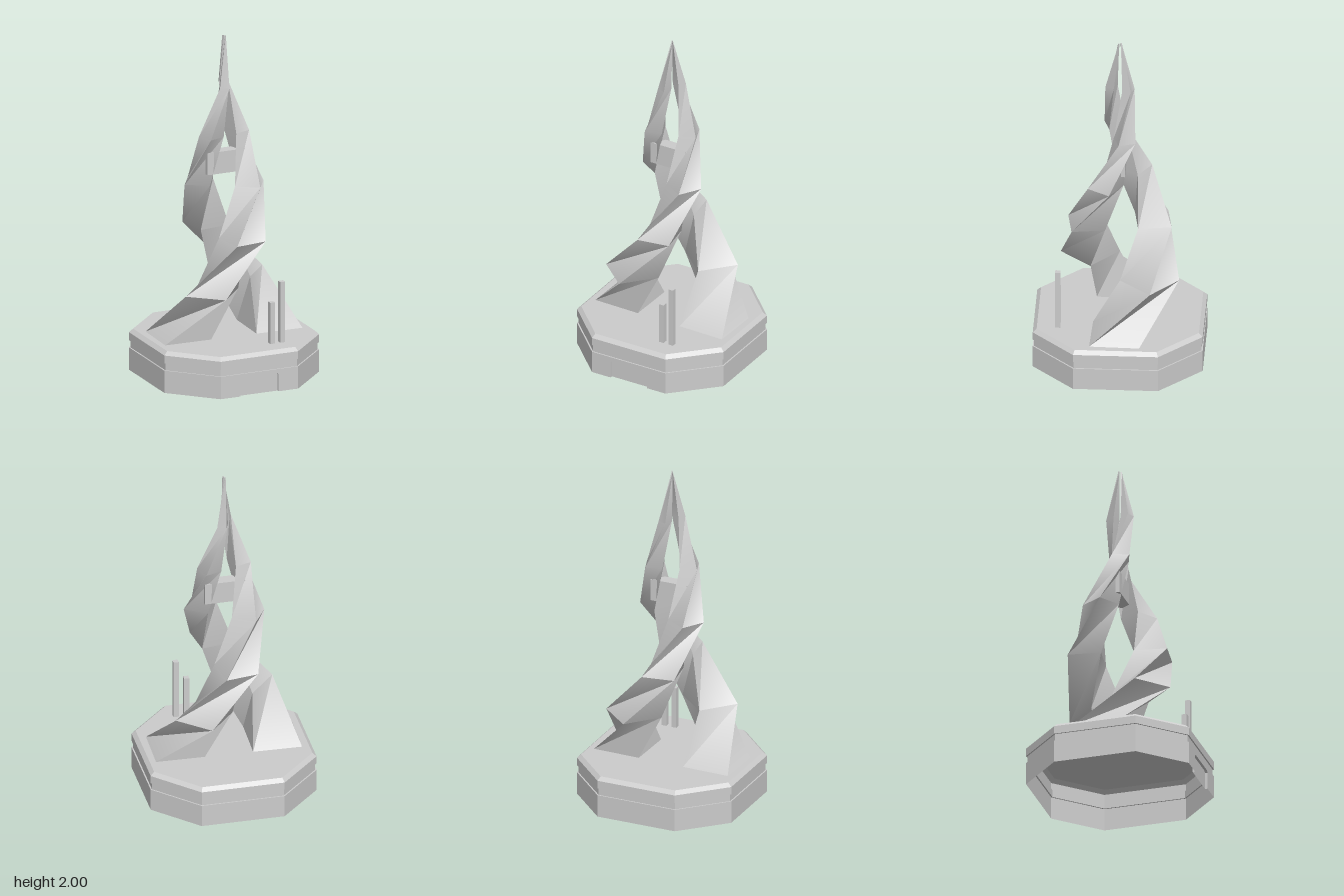
import * as THREE from 'three';
import { toCreasedNormals } from 'three/addons/utils/BufferGeometryUtils.js';

const material = new THREE.MeshStandardMaterial({ color: 0xcccccc, side: THREE.DoubleSide });

function add(parent, name, geometry, x = 0, y = 0, z = 0) {
  const mesh = new THREE.Mesh(geometry, material);
  mesh.name = name;
  mesh.position.set(x, y, z);
  parent.add(mesh);
  return mesh;
}

// Skin between successive rows of [x, y, z] points; crease is the largest smoothed angle
function loft(rows, closed, crease) {
  const n = rows[0].length;
  const index = [];
  for (let i = 0; i < rows.length - 1; i++) {
    for (let j = 0; j < (closed ? n : n - 1); j++) {
      const k = (j + 1) % n;
      const a = i * n + j, b = i * n + k, c = b + n, d = a + n;
      index.push(a, b, c, a, c, d);
    }
  }
  const geometry = new THREE.BufferGeometry();
  geometry.setAttribute('position', new THREE.Float32BufferAttribute(rows.flat(2), 3));
  geometry.setIndex(index);
  return toCreasedNormals(geometry, crease);
}

// Octagon with wide corner cuts, inset by d, starting at the right end of the front side
function octagon(d, y) {
  const a = 0.484 - d, b = 0.242 - 0.414 * d;
  return [[b, a], [a, b], [a, -b], [b, -a], [-b, -a], [-a, -b], [-a, b], [-b, a]]
    .map(([x, z]) => [x, y, z]);
}

function flatShape(points) {
  return new THREE.ShapeGeometry(new THREE.Shape(points.map(([x, y]) => new THREE.Vector2(x, y))));
}

function createBase() {
  const base = new THREE.Group();
  base.name = 'base';

  // Lower tier: seven plain sides, and a front with a doorway
  const low = 0.133;
  add(base, 'lowerWalls', loft([octagon(0, 0), octagon(0, low)], false, 0.1));
  const door = [[-0.12, 0], [-0.12, 0.1], [-0.11, 0.11], [0.11, 0.11], [0.12, 0.1], [0.12, 0]];
  const front = 0.484, recess = 0.015;
  add(base, 'frontWall', flatShape([[-0.242, 0], ...door, [0.242, 0], [0.242, low], [-0.242, low]]), 0, 0, front);
  add(base, 'door', flatShape(door), 0, 0, front - recess);
  add(base, 'doorFrame', loft([front, front - recess].map(z => door.map(([x, y]) => [x, y, z])), false, 0.1));

  // Shallow groove, upper tier and chamfered rim
  const profile = [[0, low], [0.008, low], [0.008, 0.176], [0, 0.176], [0, 0.223], [0.022, 0.244]];
  add(base, 'upperWalls', loft(profile.map(([d, y]) => octagon(d, y)), true, 0.1));

  const deck = flatShape(octagon(0.022, 0).map(([x, , z]) => [x, -z]));
  deck.rotateX(-Math.PI / 2);
  add(base, 'deck', deck, 0, 0.244, 0);
  return base;
}

// Square strand that climbs, turns about the axis and tapers almost to a point
function strandGeometry() {
  const steps = 6, rows = [];
  for (let k = 0; k <= steps; k++) {
    const angle = THREE.MathUtils.degToRad(-1.5 + 50 * k);
    const s = 1 - 0.975 * k / steps;
    const c = Math.cos(angle), n = Math.sin(angle);
    const y = 0.244 + (2 - 0.244) * k / steps;
    // r is measured outward, t along the turn
    rows.push([[0.424, -0.1425], [0.424, 0.1425], [0.14, 0.1425], [0.14, -0.1425]]
      .map(([r, t]) => [s * (-c * r + n * t), y, s * (n * r + c * t)]));
  }
  // Close the tip
  const tip = rows[steps];
  const middle = [(tip[0][0] + tip[2][0]) / 2, 2, (tip[0][2] + tip[2][2]) / 2];
  rows.push(tip.map(() => middle));
  return loft(rows, true, 0.85);
}

export function createModel() {
  const model = new THREE.Group();
  model.name = 'twistedTower';
  model.add(createBase());

  // Two strands, half a turn apart
  const strand = strandGeometry();
  add(model, 'rightStrand', strand);
  add(model, 'leftStrand', strand).rotation.y = Math.PI;

  // Bridge joining the strands
  add(model, 'bridge', new THREE.BoxGeometry(0.24, 0.13, 0.07), 0, 1.255, 0);

  // Two slim posts on the deck
  for (const [name, x, top] of [['shortPost', 0.141, 0.49], ['tallPost', 0.203, 0.605]]) {
    const height = top - 0.244;
    add(model, name, new THREE.BoxGeometry(0.03, height, 0.03), x, 0.244 + height / 2, 0.343);
  }
  return model;
}
